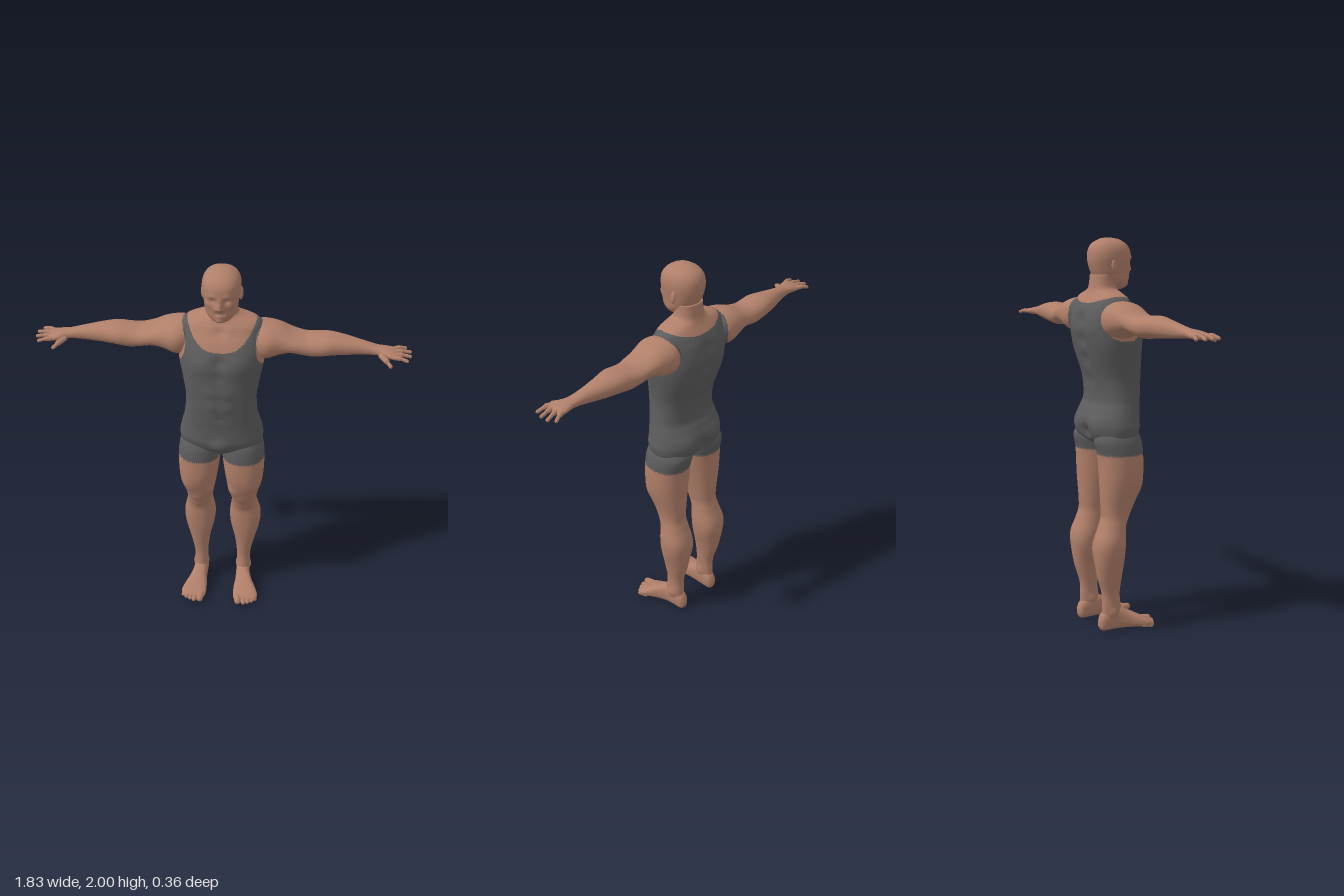
import * as THREE from 'three';

const skin = new THREE.MeshStandardMaterial({ color: 0xb07f69 });
skin.name = 'skin';
const cloth = new THREE.MeshStandardMaterial({ color: 0x5c5c5c });
cloth.name = 'grey cloth';

// Outline of the singlet: hem, scooped neck and arm holes
function isCloth(x, y, z) {
  const ax = Math.abs(x);
  if (y < 0.925) return false;
  const neck = z > -0.04 ? 1.6 + 0.115 * (ax / 0.165) ** 3 : 1.68 + 0.035 * (ax / 0.165) ** 2;
  if (y > neck) return false;
  return !(y > 1.48 && ax > 0.17 + 3 * (y - 1.61) ** 2);
}

const spline = (p, q, r, s, t) =>
  0.5 * (2 * q + (r - p) * t + (2 * p - 5 * q + 4 * r - s) * t * t + (3 * q - p - 3 * r + s) * t ** 3);

// Smooth skin over cross-sections [t, aMin, aMax, bMin, bMax].
// place(t, a, b) gives a point; bumps [x, y, z, height, radius] swell or dent it on both sides.
function loft(name, sections, place, { bumps = [], side = 1, n = 2.2, cols = 64, steps = 8 } = {}) {
  const pos = [], rows = (sections.length - 1) * steps + 1;
  const at = i => sections[Math.max(0, Math.min(sections.length - 1, i))];
  const push = v => pos.push(v.x * side, v.y, v.z);
  const mids = [];
  for (let r = 0; r < rows; r++) {
    const k = Math.min(Math.floor(r / steps), sections.length - 2), f = r / steps - k;
    const [t, a0, a1, b0, b1] = at(k).map((_, c) => spline(at(k - 1)[c], at(k)[c], at(k + 1)[c], at(k + 2)[c], f));
    const mid = place(t, (a0 + a1) / 2, (b0 + b1) / 2);
    mids.push(mid);
    for (let j = 0; j < cols; j++) {
      const u = j / cols * Math.PI * 2, c = Math.cos(u), s = Math.sin(u);
      const a = (a0 + a1) / 2 + (a1 - a0) / 2 * Math.sign(c) * Math.abs(c) ** (2 / n);
      const b = (b0 + b1) / 2 + (b1 - b0) / 2 * Math.sign(s) * Math.abs(s) ** (2 / n);
      const v = place(t, a, b), out = v.clone().sub(mid).normalize();
      let h = 0;
      for (const [x, y, z, height, rad] of bumps) {
        const d2 = (Math.abs(v.x) - x) ** 2 + (v.y - y) ** 2 + (v.z - z) ** 2;
        h += height * Math.exp(-d2 / (rad * rad));
      }
      push(v.addScaledVector(out, h));
    }
  }
  push(mids[0]);
  push(mids[rows - 1]);
  const tris = [], first = rows * cols;
  for (let j = 0; j < cols; j++) {
    const m = (j + 1) % cols, e = (rows - 1) * cols;
    tris.push([first, m, j], [first + 1, e + j, e + m]);
    for (let r = 0; r < rows - 1; r++) {
      const p = r * cols + j, q = r * cols + m;
      tris.push([p, q, q + cols], [p, q + cols, p + cols]);
    }
  }
  // Turn all faces outward, then sort them by colour
  const P = i => new THREE.Vector3(pos[3 * i], pos[3 * i + 1], pos[3 * i + 2]);
  let volume = 0;
  const lists = [[], []];
  for (const t of tris) {
    const [a, b, c] = t.map(P);
    volume += a.dot(b.clone().cross(c));
    const m = a.add(b).add(c).divideScalar(3);
    lists[isCloth(m.x, m.y, m.z) ? 1 : 0].push(t);
  }
  const [bare, clad] = lists.map(l => l.flatMap(t => volume < 0 ? [t[0], t[2], t[1]] : t));
  const g = new THREE.BufferGeometry();
  g.setAttribute('position', new THREE.Float32BufferAttribute(pos, 3));
  g.setIndex(bare.concat(clad));
  g.computeVertexNormals();
  g.addGroup(0, bare.length, 0);
  if (clad.length) g.addGroup(bare.length, clad.length, 1);
  const mesh = new THREE.Mesh(g, clad.length ? [skin, cloth] : skin);
  mesh.name = name;
  return mesh;
}

// Rounded finger or toe joint between two points
function digit(name, p, q, r, side) {
  const a = new THREE.Vector3(p[0] * side, p[1], p[2]), b = new THREE.Vector3(q[0] * side, q[1], q[2]);
  const d = b.clone().sub(a);
  const mesh = new THREE.Mesh(new THREE.CapsuleGeometry(r, Math.max(d.length() - r, 0.001), 5, 12), skin);
  mesh.position.copy(a).addScaledVector(d, 0.5);
  mesh.quaternion.setFromUnitVectors(new THREE.Vector3(0, 1, 0), d.normalize());
  mesh.name = name;
  return mesh;
}

const upright = (t, a, b) => new THREE.Vector3(a, t, b);
const sideways = (t, a, b) => new THREE.Vector3(t, a, b);
const forward = (t, a, b) => new THREE.Vector3(a, b, t);

export function createModel() {
  const man = new THREE.Group();
  man.name = 'man';

  // Torso and neck: [y, half width, back, front]
  const torso = [
    [0.965, 0.09, -0.09, 0.06], [1, 0.19, -0.135, 0.09], [1.05, 0.212, -0.15, 0.11], [1.1, 0.205, -0.15, 0.113],
    [1.15, 0.193, -0.132, 0.115], [1.2, 0.183, -0.115, 0.12], [1.3, 0.176, -0.125, 0.128], [1.4, 0.19, -0.15, 0.13],
    [1.5, 0.208, -0.17, 0.125], [1.57, 0.21, -0.175, 0.113], [1.63, 0.207, -0.17, 0.09], [1.67, 0.2, -0.155, 0.065],
    [1.7, 0.19, -0.138, 0.047], [1.72, 0.16, -0.126, 0.033], [1.74, 0.1, -0.117, 0.022], [1.76, 0.075, -0.112, 0.015],
    [1.82, 0.069, -0.105, 0.015],
  ].map(([y, w, back, front]) => [y, -w, w, back, front]);
  man.add(loft('torso', torso, upright, {
    n: 2.35, cols: 128, steps: 9,
    bumps: [
      [0.085, 1.53, 0.12, 0.014, 0.065], [0, 1.55, 0.12, -0.012, 0.03], [0, 1.47, 0.125, -0.006, 0.03],
      [0.04, 1.38, 0.13, 0.005, 0.03], [0.04, 1.29, 0.13, 0.005, 0.03], [0, 1.22, 0.12, -0.005, 0.02],
      [0.09, 1.56, -0.165, 0.012, 0.07], [0.13, 1.45, -0.13, 0.008, 0.07],
      [0, 1.6, -0.175, -0.014, 0.04], [0, 1.5, -0.17, -0.014, 0.04], [0, 1.4, -0.15, -0.013, 0.04],
      [0, 1.3, -0.125, -0.01, 0.04], [0.09, 1.06, -0.14, 0.015, 0.065], [0, 1.03, -0.145, -0.025, 0.035],
      [0, 1.035, 0.11, 0.018, 0.045], [0.05, 1.7, 0.03, 0.006, 0.02], [0, 1.68, 0.055, -0.01, 0.025],
    ],
  }));

  // Head with brow, eye sockets, nose, mouth and chin
  const head = [
    [1.745, 0.03, -0.02, 0.055], [1.758, 0.052, -0.05, 0.08], [1.79, 0.072, -0.08, 0.091], [1.82, 0.08, -0.1, 0.094],
    [1.86, 0.087, -0.115, 0.097], [1.9, 0.093, -0.122, 0.1], [1.94, 0.09, -0.118, 0.095], [1.97, 0.075, -0.1, 0.073],
    [1.99, 0.048, -0.067, 0.04], [1.997, 0.027, -0.046, 0.012], [2, 0.004, -0.022, -0.012],
  ].map(([y, w, back, front]) => [y, -w, w, back, front]);
  man.add(loft('head', head, upright, {
    cols: 112, steps: 9,
    bumps: [
      [0, 1.84, 0.097, 0.02, 0.014], [0, 1.86, 0.097, 0.014, 0.013], [0, 1.88, 0.097, 0.006, 0.012],
      [0.015, 1.835, 0.095, 0.006, 0.009], [0.034, 1.876, 0.09, -0.012, 0.016], [0.034, 1.898, 0.09, 0.006, 0.016],
      [0.055, 1.85, 0.072, 0.006, 0.02], [0.018, 1.806, 0.092, -0.005, 0.01], [0, 1.806, 0.094, -0.005, 0.009],
      [0, 1.796, 0.092, 0.004, 0.012], [0, 1.766, 0.085, 0.01, 0.02], [0.06, 1.785, 0.01, 0.006, 0.03],
    ],
  }));

  for (const side of [1, -1]) {
    const label = side > 0 ? 'left' : 'right';

    const ear = new THREE.Mesh(new THREE.SphereGeometry(1, 20, 14), skin);
    ear.scale.set(0.009, 0.033, 0.018);
    ear.position.set(side * 0.091, 1.86, -0.03);
    ear.rotation.set(-0.2, side * -0.3, 0);
    ear.name = label + 'Ear';
    man.add(ear);

    // Arm from the shoulder to the knuckles: [x, bottom, top, back, front]
    man.add(loft(label + 'Arm', [
      [0.12, 1.56, 1.66, -0.12, 0], [0.17, 1.525, 1.692, -0.153, 0.045], [0.22, 1.518, 1.695, -0.16, 0.06],
      [0.28, 1.538, 1.682, -0.15, 0.045], [0.34, 1.555, 1.655, -0.138, 0.032], [0.4, 1.543, 1.642, -0.13, 0.03],
      [0.45, 1.536, 1.645, -0.125, 0.03], [0.52, 1.545, 1.65, -0.12, 0.025], [0.6, 1.55, 1.64, -0.1, 0.01],
      [0.68, 1.557, 1.625, -0.075, 0], [0.75, 1.564, 1.61, -0.062, 0.005], [0.79, 1.563, 1.605, -0.065, 0.025],
      [0.83, 1.563, 1.596, -0.068, 0.036], [0.85, 1.57, 1.588, -0.06, 0.028],
    ], sideways, {
      side, cols: 56,
      bumps: [[0.23, 1.62, 0.05, 0.006, 0.05], [0.35, 1.6, 0.03, 0.008, 0.05], [0.5, 1.6, 0.02, 0.005, 0.04]],
    }));
    // Fingers: base z, tip x, tip z
    [[-0.056, 0.89, -0.08], [-0.028, 0.912, -0.046], [0.001, 0.912, -0.004], [0.027, 0.896, 0.04]].forEach(([z, x, tz], i) => {
      const knuckle = [0.83, 1.581, z], joint = [(0.83 + x) / 2, 1.582, (z + tz) / 2];
      man.add(digit(`${label}Finger${i + 1}`, knuckle, joint, 0.0115, side));
      man.add(digit(`${label}FingerTip${i + 1}`, joint, [x, 1.572, tz], 0.0088, side));
    });
    man.add(digit(label + 'ThumbBase', [0.765, 1.578, 0.005], [0.8, 1.568, 0.05], 0.014, side));
    man.add(digit(label + 'ThumbTip', [0.798, 1.568, 0.046], [0.818, 1.556, 0.074], 0.0095, side));

    // Leg: [y, inner, outer, back, front]
    man.add(loft(label + 'Leg', [
      [1.06, 0.03, 0.18, -0.11, 0.07], [1, 0.005, 0.212, -0.143, 0.097], [0.92, 0.006, 0.222, -0.128, 0.105],
      [0.8, 0.02, 0.218, -0.122, 0.102], [0.7, 0.037, 0.198, -0.118, 0.07], [0.65, 0.045, 0.188, -0.116, 0.048],
      [0.6, 0.052, 0.184, -0.118, 0.027], [0.55, 0.048, 0.192, -0.13, 0.007], [0.48, 0.04, 0.205, -0.153, 0.004],
      [0.4, 0.046, 0.2, -0.158, 0], [0.3, 0.068, 0.176, -0.145, -0.01], [0.2, 0.08, 0.155, -0.118, -0.02],
      [0.12, 0.082, 0.154, -0.116, -0.012], [0.06, 0.085, 0.15, -0.115, 0], [0.03, 0.095, 0.14, -0.1, -0.02],
    ], upright, {
      side, cols: 72,
      bumps: [
        [0.115, 0.65, 0.045, 0.01, 0.035], [0.065, 0.71, 0.05, 0.012, 0.04], [0.17, 0.75, 0.06, 0.008, 0.05],
        [0.115, 0.58, 0.015, 0.005, 0.03], [0.12, 0.6, -0.118, -0.006, 0.03], [0.08, 0.44, -0.14, 0.006, 0.05],
        [0.165, 0.46, -0.13, 0.005, 0.05], [0.082, 0.11, -0.06, 0.008, 0.022], [0.154, 0.1, -0.065, 0.008, 0.022],
      ],
    }));

    // Foot from heel to ball: [z, inner, outer, bottom, top]
    man.add(loft(label + 'Foot', [
      [-0.136, 0.105, 0.125, 0.025, 0.055], [-0.12, 0.086, 0.143, 0.004, 0.09], [-0.08, 0.08, 0.15, 0.003, 0.12],
      [-0.03, 0.08, 0.155, 0.003, 0.125], [0.02, 0.08, 0.17, 0.003, 0.1], [0.07, 0.075, 0.195, 0.003, 0.074],
      [0.11, 0.075, 0.21, 0.003, 0.052], [0.14, 0.082, 0.2, 0.005, 0.036], [0.148, 0.1, 0.19, 0.012, 0.026],
    ], forward, { side, n: 2.5, cols: 48 }));
    // Toes: base x, tip x, tip z, radius
    [[0.098, 0.107, 0.17, 0.018], [0.128, 0.138, 0.17, 0.013], [0.151, 0.16, 0.161, 0.012],
      [0.172, 0.181, 0.15, 0.011], [0.191, 0.2, 0.134, 0.011]].forEach(([x, tx, z, r], i) =>
      man.add(digit(`${label}Toe${i + 1}`, [x, r + 0.008, z - 0.05], [tx, r + 0.003, z], r, side)));
  }
  return man;
}
